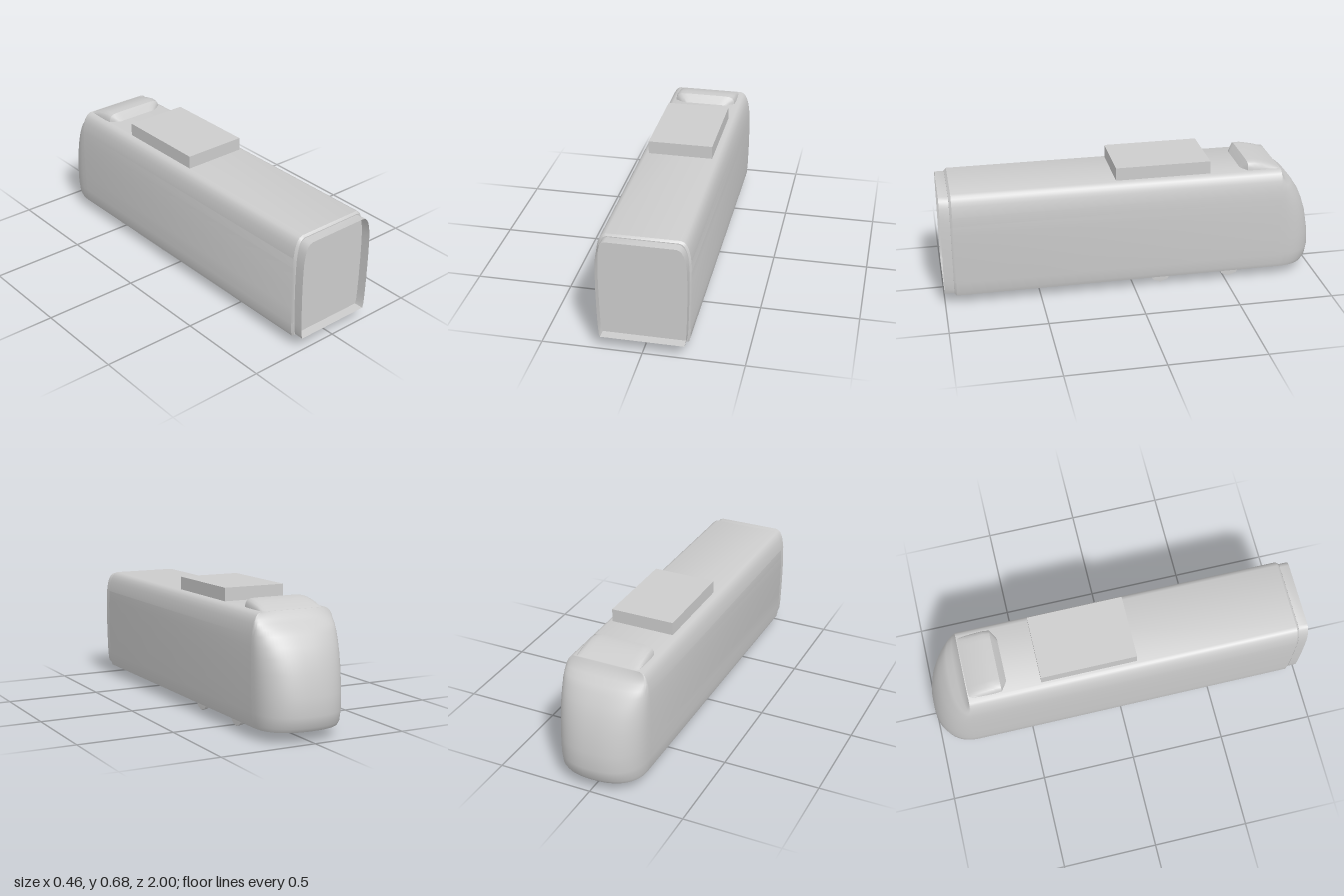
import * as THREE from 'three';
import { toCreasedNormals } from 'three/addons/utils/BufferGeometryUtils.js';

// Skin a list of sections; each section is a list of [x, y, z] points
function loft(sections, closed, crease = 0.6) {
  const n = sections[0].length;
  const index = [];
  for (let i = 0; i < sections.length - 1; i++) {
    for (let j = 0; j < (closed ? n : n - 1); j++) {
      const k = (j + 1) % n;
      const a = i * n + j, a1 = i * n + k, b = a + n, b1 = a1 + n;
      index.push(a, b, a1, a1, b, b1);
    }
  }
  const geo = new THREE.BufferGeometry();
  geo.setAttribute('position', new THREE.Float32BufferAttribute(sections.flat(2), 3));
  geo.setIndex(index);
  return toCreasedNormals(geo, crease);
}

// Side levels from floor to roof: height, half width, z of the nose at that height
const LEVELS = [
  [0.055, 0.216, -0.975], [0.075, 0.222, -0.99], [0.13, 0.226, -1.0], [0.22, 0.229, -0.993],
  [0.33, 0.231, -0.972], [0.4, 0.231, -0.948], [0.45, 0.23, -0.925], [0.5, 0.228, -0.892],
  [0.53, 0.224, -0.868], [0.555, 0.219, -0.83], [0.575, 0.213, -0.812], [0.592, 0.204, -0.8],
  [0.603, 0.194, -0.794], [0.61, 0.178, -0.79],
];
const NOSE_Z = -0.79;
const MID_Y = 0.333;

// Car cross-section, counterclockwise seen from +z, scaled about its middle
function outline(z, s = 1) {
  const right = LEVELS.map(([y, w]) => [w * s, MID_Y + (y - MID_Y) * s, z]);
  const left = right.map(([x, y]) => [-x, y, z]).reverse();
  return [...right, ...left];
}

// Nose plan curve at one height, from -x round to +x
function noseRow([y, w, zf], depth = 1) {
  const row = [], steps = 32, p = 2 / 2.4;
  for (let i = 0; i <= steps; i++) {
    const t = Math.PI * (1 - i / steps);
    const c = Math.cos(t), s = Math.max(0, Math.sin(t));
    row.push([
      w * Math.sign(c) * Math.abs(c) ** p, y,
      NOSE_Z + (zf - NOSE_Z) * depth * s ** p,
    ]);
  }
  return row;
}

export function createModel() {
  const model = new THREE.Group();
  const grey = new THREE.MeshStandardMaterial({ color: 0xcccccc, side: THREE.DoubleSide });
  grey.name = 'plainGrey';
  const add = (name, geo, x = 0, y = 0, z = 0) => {
    const mesh = new THREE.Mesh(geo, grey);
    mesh.name = name;
    mesh.position.set(x, y, z);
    model.add(mesh);
    return mesh;
  };

  // Long body shell with a small bevel at the open end
  add('body', loft([outline(0.95, 0.965), outline(0.938), outline(NOSE_Z)], true));

  // Recessed end wall and the open gangway sleeve around it
  const endShape = new THREE.Shape(outline(0, 0.97).map(([x, y]) => new THREE.Vector2(x, y)));
  add('endWall', new THREE.ShapeGeometry(endShape), 0, 0, 0.95);
  add('gangwaySleeve', loft([outline(1, 0.955), outline(0.945, 0.955)], true));

  // Rounded nose, starting with its flat underside
  add('nose', loft([noseRow(LEVELS[0], 0), ...LEVELS.map((l) => noseRow(l))], false));

  // Roof fairing: z, half width, top height
  const fairing = [
    [-0.583, 0.12, 0.611], [-0.6, 0.146, 0.634], [-0.615, 0.168, 0.652], [-0.65, 0.172, 0.653],
    [-0.69, 0.172, 0.645], [-0.73, 0.171, 0.634], [-0.77, 0.17, 0.618], [-0.79, 0.17, 0.608],
  ].map(([z, w, h]) => {
    const rise = h - 0.605;
    const half = [[w, 0.605], [w * 0.985, 0.605 + rise * 0.45], [w * 0.93, 0.605 + rise * 0.8],
      [w * 0.82, 0.605 + rise * 0.96], [w * 0.65, h]];
    return [...half, ...half.map(([x, y]) => [-x, y]).reverse()].map(([x, y]) => [x, y, z]);
  });
  add('roofFairing', loft(fairing, true, 0.75));

  // Roof equipment box
  add('roofBox', new THREE.BoxGeometry(0.336, 0.073, 0.5), 0, 0.6415, -0.16);

  // Wheels, mostly hidden inside the body
  for (const z of [-0.15, -0.53]) {
    for (const x of [-0.158, 0.158]) {
      const wheel = add('wheel', new THREE.CylinderGeometry(0.058, 0.058, 0.021, 8), x, 0.058, z);
      wheel.rotation.z = Math.PI / 2;
    }
  }
  return model;
}
